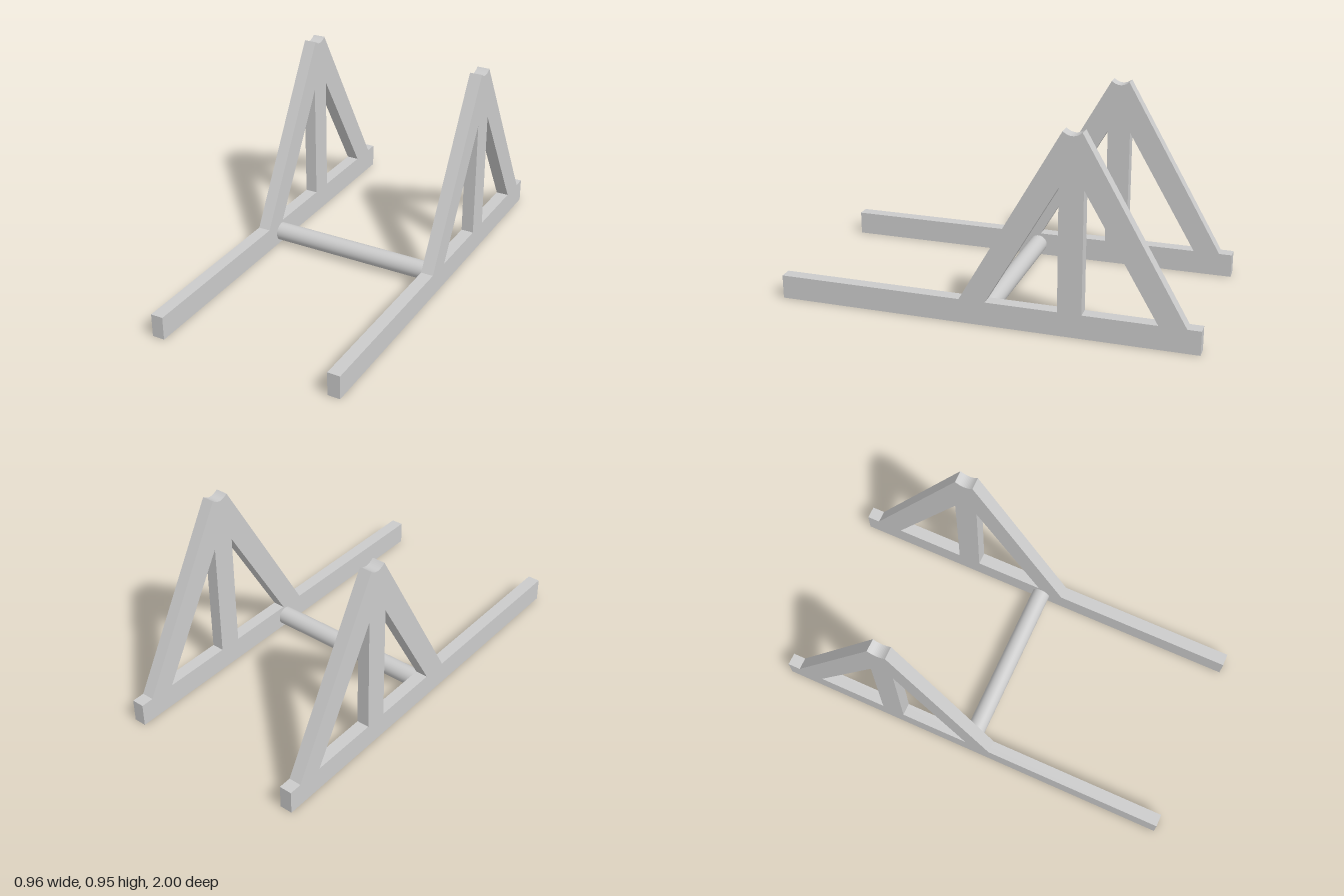
import * as THREE from 'three';

const RAIL_H = 0.115, THICK = 0.061, SIDE_X = 0.449;
const APEX_Z = -0.413;

// A-shaped truss outline, drawn as (z, y) and standing on the rail
function trussGeometry() {
  const s = new THREE.Shape();
  s.moveTo(0.11, RAIL_H);
  s.lineTo(-0.015, RAIL_H);
  s.lineTo(-0.355, 0.7);
  s.lineTo(-0.355, RAIL_H);
  s.lineTo(-0.467, RAIL_H);
  s.lineTo(-0.467, 0.7);
  s.lineTo(-0.81, RAIL_H);
  s.lineTo(-0.937, RAIL_H);
  s.lineTo(APEX_Z - 0.044, 0.953);
  // shallow round saddle at the apex
  s.quadraticCurveTo(APEX_Z, 0.917, APEX_Z + 0.044, 0.953);
  s.closePath();
  const g = new THREE.ExtrudeGeometry(s, { depth: THICK, bevelEnabled: false, curveSegments: 12 });
  g.translate(0, 0, -THICK / 2);
  g.rotateY(-Math.PI / 2);
  return g;
}

export function createModel() {
  const model = new THREE.Group();
  model.name = 'supportStand';
  const material = new THREE.MeshStandardMaterial({ color: 0xcccccc });

  const add = (parent, name, geometry, x, y, z) => {
    const mesh = new THREE.Mesh(geometry, material);
    mesh.name = name;
    mesh.position.set(x, y, z);
    parent.add(mesh);
    return mesh;
  };

  // Two matching side frames: floor rail and truss
  const rail = new THREE.BoxGeometry(THICK, RAIL_H, 2);
  const truss = trussGeometry();
  for (const [name, sign] of [['left', 1], ['right', -1]]) {
    const side = new THREE.Group();
    side.name = `${name}SideFrame`;
    side.position.x = sign * SIDE_X;
    add(side, `${name}FloorRail`, rail, 0, RAIL_H / 2, 0);
    add(side, `${name}Truss`, truss, 0, 0, 0);
    model.add(side);
  }

  // Round bar joining the two rails
  const bar = new THREE.CylinderGeometry(0.045, 0.045, 2 * SIDE_X - THICK, 40);
  bar.rotateZ(Math.PI / 2);
  add(model, 'crossBar', bar, 0, 0.058, -0.002);

  return model;
}
